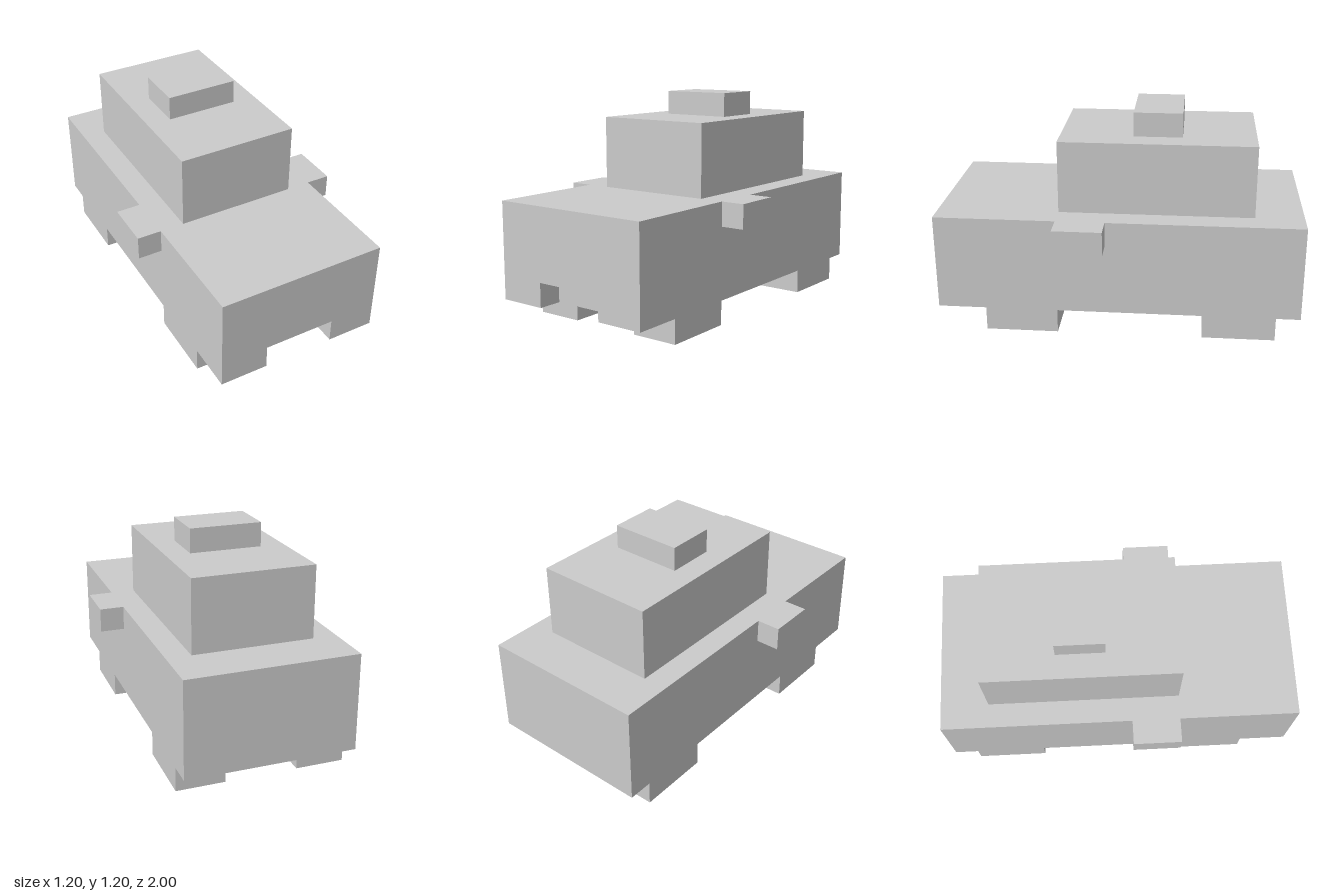
import * as THREE from 'three';

const U = 2 / 30; // block grid unit
const material = new THREE.MeshStandardMaterial({ color: 0xcccccc, flatShading: true });

// Box given by its min and max corners, in grid units
function block(name, [x0, y0, z0], [x1, y1, z1]) {
  const geometry = new THREE.BoxGeometry((x1 - x0) * U, (y1 - y0) * U, (z1 - z0) * U);
  const mesh = new THREE.Mesh(geometry, material);
  mesh.position.set((x0 + x1) / 2 * U, (y0 + y1) / 2 * U, (z0 + z1) / 2 * U);
  mesh.name = name;
  return mesh;
}

export function createModel() {
  const car = new THREE.Group();
  car.name = 'blockCar';

  // Main body, cabin and roof block
  car.add(block('body', [-7, 2, -15], [7, 10, 13]));
  car.add(block('cabin', [-5, 10, -11], [5, 16, 5]));
  car.add(block('roofLight', [-3, 16, -5], [3, 18, -1]));

  // Nose slab with a notch cut into its lower edge
  const outline = [[-7, 2], [-3, 2], [-3, 4], [3, 4], [3, 2], [7, 2], [7, 10], [-7, 10]];
  const shape = new THREE.Shape(outline.map(([x, y]) => new THREE.Vector2(x * U, y * U)));
  const nose = new THREE.Mesh(
    new THREE.ExtrudeGeometry(shape, { depth: 2 * U, bevelEnabled: false }), material);
  nose.position.z = 13 * U;
  nose.name = 'nose';
  car.add(nose);

  // Mirrors and wheels on both sides
  for (const [side, s] of [['left', 1], ['right', -1]]) {
    const pair = (a, b) => s > 0 ? [a, b] : [-b, -a];
    const [m0, m1] = pair(7, 9);
    car.add(block(side + 'Mirror', [m0, 8, 1], [m1, 10, 5]));
    const [w0, w1] = pair(3, 7);
    car.add(block(side + 'FrontWheel', [w0, 0, 5], [w1, 2, 11]));
    car.add(block(side + 'RearWheel', [w0, 0, -13], [w1, 2, -7]));
  }
  return car;
}
